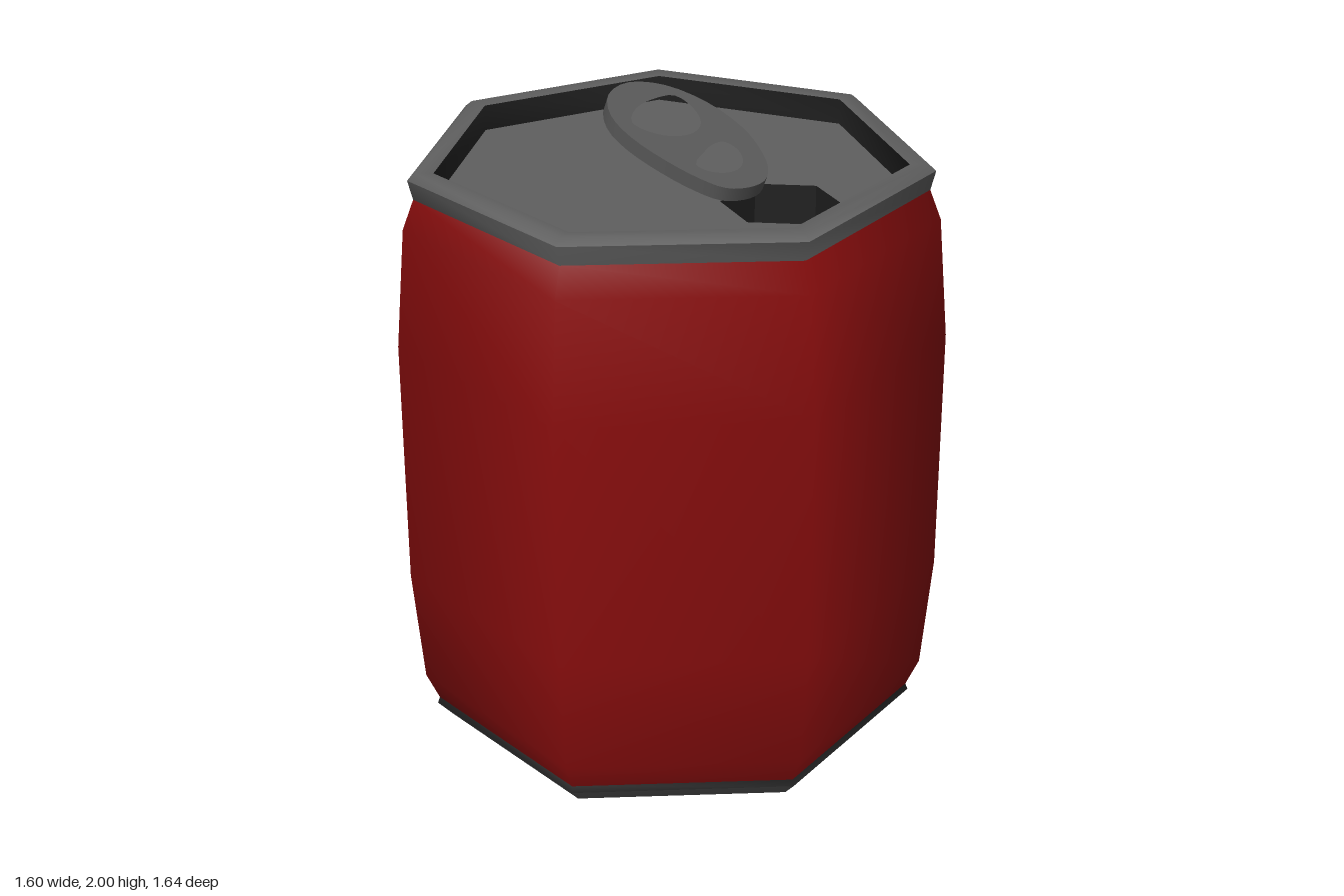
import * as THREE from 'three';
import { toCreasedNormals } from 'three/addons/utils/BufferGeometryUtils.js';

const SIDES = 7;
const AXIS_X = -0.042; // the heptagon's axis, so that its width is centred on x = 0
const LID_Y = 1.765;

const material = (color) => new THREE.MeshStandardMaterial({ color });
const red = material(0x880d0d);
const metal = material(0x5f5f5f);
const tabMetal = material(0x585858);
const dark = material(0x202020);
dark.side = THREE.DoubleSide;

const vectors = (pairs) => pairs.map(([x, y]) => new THREE.Vector2(x, y));

// Regular polygon in plan (x, z), drawn as shape points (x, -z)
function polygon(cx, cz, radius, sides, start) {
  return Array.from({ length: sides }, (_, i) => {
    const a = start + (i / sides) * Math.PI * 2;
    return new THREE.Vector2(cx + radius * Math.cos(a), -cz - radius * Math.sin(a));
  });
}

// Closed smooth outline through plan points (x, z)
function smoothOutline(pairs, count, stretch) {
  const curve = new THREE.CatmullRomCurve3(
    pairs.map(([x, z]) => new THREE.Vector3(x, -z * stretch, 0)), true);
  return curve.getPoints(count).slice(0, -1).map((p) => new THREE.Vector2(p.x, p.y));
}

export function createModel() {
  const group = new THREE.Group();
  const add = (name, geometry, mat) => {
    const mesh = new THREE.Mesh(geometry, mat);
    mesh.name = name;
    group.add(mesh);
    return mesh;
  };
  const ring = (name, profile, mat) => {
    const lathe = new THREE.LatheGeometry(vectors(profile), SIDES, Math.PI / 2);
    add(name, toCreasedNormals(lathe, 0.95), mat).position.x = AXIS_X;
  };

  // Can shell, with a shallow recess underneath
  ring('bottom', [[0, 0.04], [0.715, 0.04]], metal);
  ring('bottomInnerWall', [[0.715, 0.04], [0.72, 0]], metal);
  ring('base', [[0.72, 0], [0.73, 0], [0.777, 0.05]], metal);
  ring('baseGroove', [[0.777, 0.05], [0.77, 0.07]], dark);
  ring('body', [[0.77, 0.07], [0.81, 0.16], [0.842, 0.53], [0.842, 1.31],
    [0.81, 1.68], [0.775, 1.77]], red);
  ring('rim', [[0.775, 1.77], [0.79, 1.83], [0.765, 1.85], [0.712, 1.845]], metal);
  ring('rimInnerWall', [[0.712, 1.845], [0.712, LID_Y]], dark);

  // Lid with a six-sided opening
  const hole = { x: 0.048, z: 0.39, r: 0.181, turn: -0.222 };
  const lid = new THREE.Shape(polygon(AXIS_X, 0, 0.712, SIDES, 0));
  lid.holes.push(new THREE.Path(polygon(hole.x, hole.z, hole.r, 6, hole.turn)));
  add('lid', new THREE.ShapeGeometry(lid).rotateX(-Math.PI / 2), metal).position.y = LID_Y;

  // Dark pocket below the opening
  const depth = 0.12;
  const pocketWall = new THREE.CylinderGeometry(hole.r, hole.r, depth, 6, 1, true,
    Math.PI / 2 - hole.turn);
  add('openingWall', toCreasedNormals(pocketWall, 0.5), dark)
    .position.set(hole.x, LID_Y - depth / 2, hole.z);
  const floor = new THREE.Shape(polygon(hole.x, hole.z, hole.r, 6, hole.turn));
  add('openingFloor', new THREE.ShapeGeometry(floor).rotateX(-Math.PI / 2), dark)
    .position.y = LID_Y - depth;

  // Pull tab: egg-shaped plate with two holes, raised at the back and leaning to one side
  const tilt = 0.358;
  const lean = 0.075;
  const stretch = 1 / Math.cos(tilt);
  const tab = new THREE.Shape(smoothOutline([
    [-0.03, -0.225], [0.08, -0.185], [0.16, -0.08], [0.187, 0.05], [0.172, 0.14],
    [0.13, 0.23], [0.07, 0.28], [-0.005, 0.292], [-0.08, 0.275], [-0.13, 0.22],
    [-0.18, 0.12], [-0.213, 0], [-0.205, -0.1], [-0.14, -0.19]], 42, stretch));
  const tabHoles = [
    [[-0.16, -0.055], [-0.1, -0.11], [0, -0.137], [0.075, -0.133], [0.092, -0.07],
      [0.065, 0], [0, 0.035], [-0.08, 0.03], [-0.14, -0.01]],
    [[-0.095, 0.16], [-0.03, 0.12], [0.03, 0.095], [0.075, 0.095], [0.092, 0.135],
      [0.07, 0.185], [0.02, 0.215], [-0.04, 0.215], [-0.085, 0.19]],
  ];
  for (const outline of tabHoles) {
    tab.holes.push(new THREE.Path(smoothOutline(outline, 27, stretch)));
  }
  const plate = new THREE.ExtrudeGeometry(tab, { depth: 0.045, bevelEnabled: false })
    .rotateX(-Math.PI / 2)
    .rotateX(tilt)
    .rotateZ(-lean);
  add('pullTab', toCreasedNormals(plate, 0.7), tabMetal).position.y = 1.873;

  return group;
}
